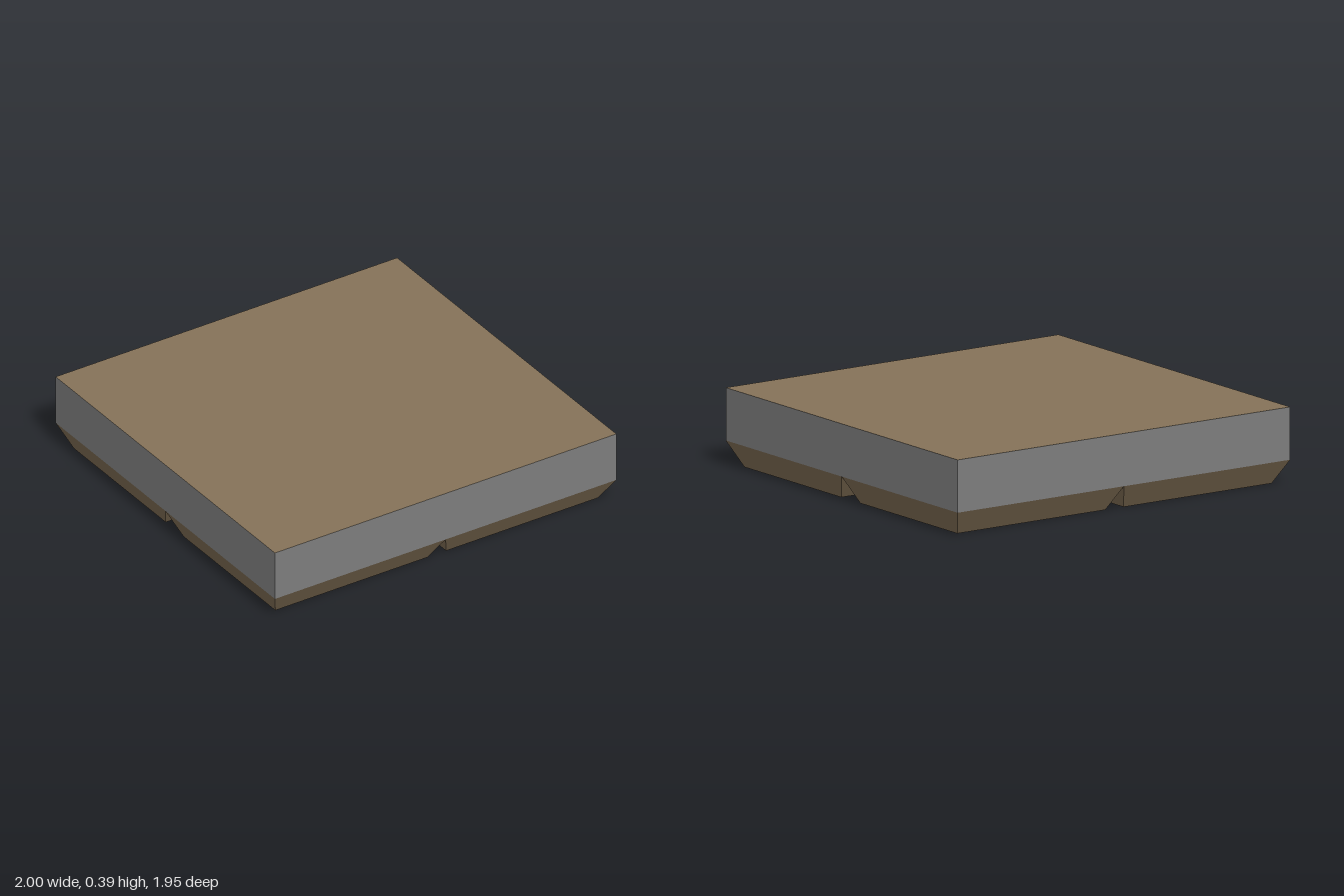
import * as THREE from 'three';

const W = 2, D = 1.95, TOP = 0.391, SLAB_Y = 0.126, PANEL_Y = 0.05;
const BEVEL_X = 0.055, BEVEL_Z = 0.08;

// Rectangular ring of corners at height y
function ring(hx, hz, y) {
  return [[-hx, y, -hz], [hx, y, -hz], [hx, y, hz], [-hx, y, hz]];
}

// Flat-shaded band of quads joining a lower ring to an upper ring, facing outwards
function band(low, high) {
  const pos = [];
  for (let i = 0; i < 4; i++) {
    const j = (i + 1) % 4;
    const a = low[i], b = low[j], c = high[j], d = high[i];
    pos.push(...a, ...c, ...b, ...a, ...d, ...c);
  }
  const g = new THREE.BufferGeometry();
  g.setAttribute('position', new THREE.Float32BufferAttribute(pos, 3));
  g.computeVertexNormals();
  return g;
}

export function createModel() {
  const model = new THREE.Group();
  model.name = 'floorTile';

  const brown = new THREE.MeshStandardMaterial({ color: 0x867359 });
  brown.name = 'brown';
  const grey = new THREE.MeshStandardMaterial({ color: 0x7e7e7e });
  grey.name = 'grey';

  const add = (parent, name, geometry, material) => {
    const mesh = new THREE.Mesh(geometry, material);
    mesh.name = name;
    parent.add(mesh);
    return mesh;
  };

  // Slab: grey sides and underside, brown top
  const slab = add(model, 'slab', new THREE.BoxGeometry(W, TOP - SLAB_Y, D),
    [grey, grey, brown, grey, grey, grey]);
  slab.position.y = (TOP + SLAB_Y) / 2;

  // Four bevelled feet: each has a sloping recess that narrows up to a grey panel
  const hx = W / 4, hz = D / 4;
  const px = hx - 2 * BEVEL_X, pz = hz - 2 * BEVEL_Z;
  const bottom = ring(hx - BEVEL_X, hz - BEVEL_Z, 0);
  const outerWall = band(bottom, ring(hx, hz, SLAB_Y));
  const innerWall = band(ring(px, pz, PANEL_Y), bottom);
  const panel = new THREE.PlaneGeometry(2 * px, 2 * pz);
  panel.rotateX(Math.PI / 2);

  for (const sx of [-1, 1]) {
    for (const sz of [-1, 1]) {
      const foot = new THREE.Group();
      foot.name = (sz > 0 ? 'front' : 'back') + (sx > 0 ? 'Left' : 'Right') + 'Foot';
      foot.position.set(sx * hx, 0, sz * hz);
      add(foot, 'bevelledWall', outerWall, brown);
      add(foot, 'recessWall', innerWall, brown);
      add(foot, 'recessPanel', panel, grey).position.y = PANEL_Y;
      model.add(foot);
    }
  }
  return model;
}
